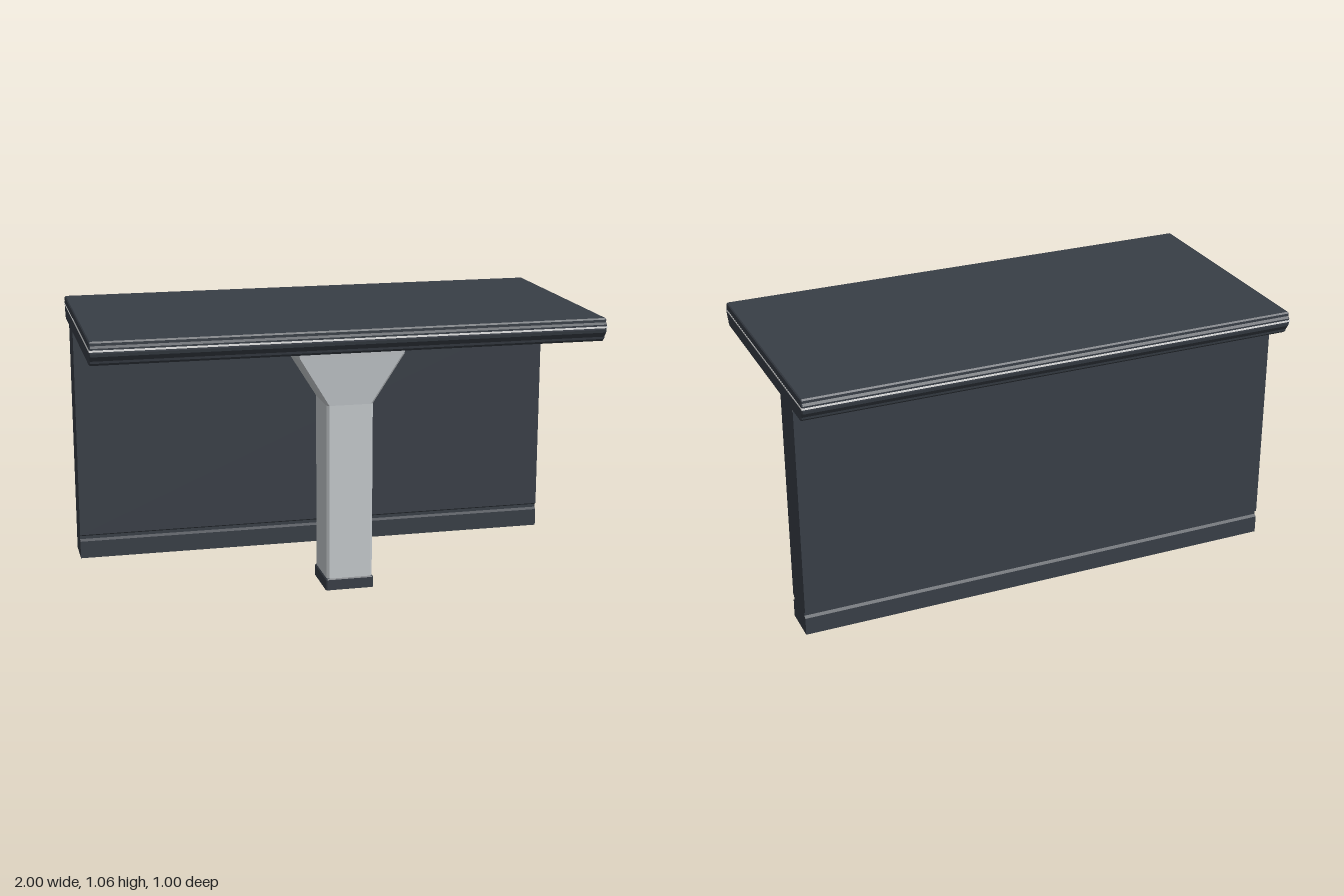
import * as THREE from 'three';

const dark = new THREE.MeshStandardMaterial({ color: 0x383e46 });
dark.name = 'charcoal';
const metal = new THREE.MeshStandardMaterial({ color: 0xc4c9cc });
metal.name = 'light grey metal';
const white = new THREE.MeshStandardMaterial({ color: 0xffffff });
white.name = 'white inlay';

function add(group, name, geometry, material, x = 0, y = 0, z = 0) {
  const mesh = new THREE.Mesh(geometry, material);
  mesh.name = name;
  mesh.position.set(x, y, z);
  group.add(mesh);
}

// Extrudes a profile, mirrored about z = 0 and given as [z, y] going up, along x
function mirroredBar(half, length, bevel) {
  const points = [...half, ...half.map(([z, y]) => [-z, y]).reverse()];
  const shape = new THREE.Shape(points.map(([z, y]) => new THREE.Vector2(z, y)));
  const geometry = new THREE.ExtrudeGeometry(shape, {
    depth: length - 2 * bevel,
    bevelEnabled: bevel > 0,
    bevelThickness: bevel,
    bevelSize: bevel,
    bevelOffset: -bevel,
    bevelSegments: 1,
  });
  geometry.translate(0, 0, -length / 2 + bevel);
  geometry.rotateY(-Math.PI / 2);
  return geometry;
}

// Joins rectangular sections with cut corners: [y, half width, half depth]
function flaredPost(sections, cut) {
  const position = [], index = [];
  for (const [y, w, d] of sections) {
    const corners = [
      [w, d - cut], [w - cut, d], [cut - w, d], [-w, d - cut],
      [-w, cut - d], [cut - w, -d], [w - cut, -d], [w, cut - d],
    ];
    for (const [x, z] of corners) position.push(x, y, z);
  }
  for (let r = 0; r < sections.length - 1; r++) {
    for (let i = 0; i < 8; i++) {
      const a = r * 8 + i, b = r * 8 + (i + 1) % 8;
      index.push(a, a + 8, b, b, a + 8, b + 8);
    }
  }
  const top = (sections.length - 1) * 8;
  for (let i = 1; i < 7; i++) {
    index.push(0, i, i + 1);
    index.push(top, top + i + 1, top + i);
  }
  const geometry = new THREE.BufferGeometry();
  geometry.setAttribute('position', new THREE.Float32BufferAttribute(position, 3));
  geometry.setIndex(index);
  const flat = geometry.toNonIndexed();
  flat.computeVertexNormals();
  return flat;
}

export function createModel() {
  const model = new THREE.Group();
  model.name = 'counter';

  // Worktop with moulded edge, and the thin inlay around it
  const edge = [
    [0.466, 0.962], [0.478, 0.972], [0.48, 0.981], [0.495, 1.0],
    [0.498, 1.012], [0.498, 1.032], [0.49, 1.04], [0.49, 1.05], [0.485, 1.056],
  ];
  add(model, 'worktop', mirroredBar(edge, 1.998, 0.004), dark);
  add(model, 'edgeInlay', new THREE.BoxGeometry(2, 0.007, 1), white, 0, 1.022, 0);

  // Back panel with a groove above its plinth
  const panel = [
    [0.075, 0], [0.075, 0.072], [0.064, 0.08], [0.064, 0.093],
    [0.075, 0.1], [0.075, 0.955], [0.067, 0.965],
  ];
  add(model, 'backPanel', mirroredBar(panel, 1.99, 0), dark, 0, 0, -0.29);

  // Front leg: foot, shaft and flared head
  const leg = new THREE.Group();
  leg.name = 'frontLeg';
  leg.position.z = 0.302;
  add(leg, 'legFoot', flaredPost([[0, 0.096, 0.1], [0.042, 0.096, 0.1], [0.047, 0.092, 0.097]], 0.005), dark);
  add(leg, 'legPost', flaredPost([
    [0.045, 0.092, 0.097],
    [0.745, 0.092, 0.097],
    [0.937, 0.21, 0.116],
    [0.964, 0.217, 0.119],
  ], 0.01), metal);
  model.add(leg);

  return model;
}
